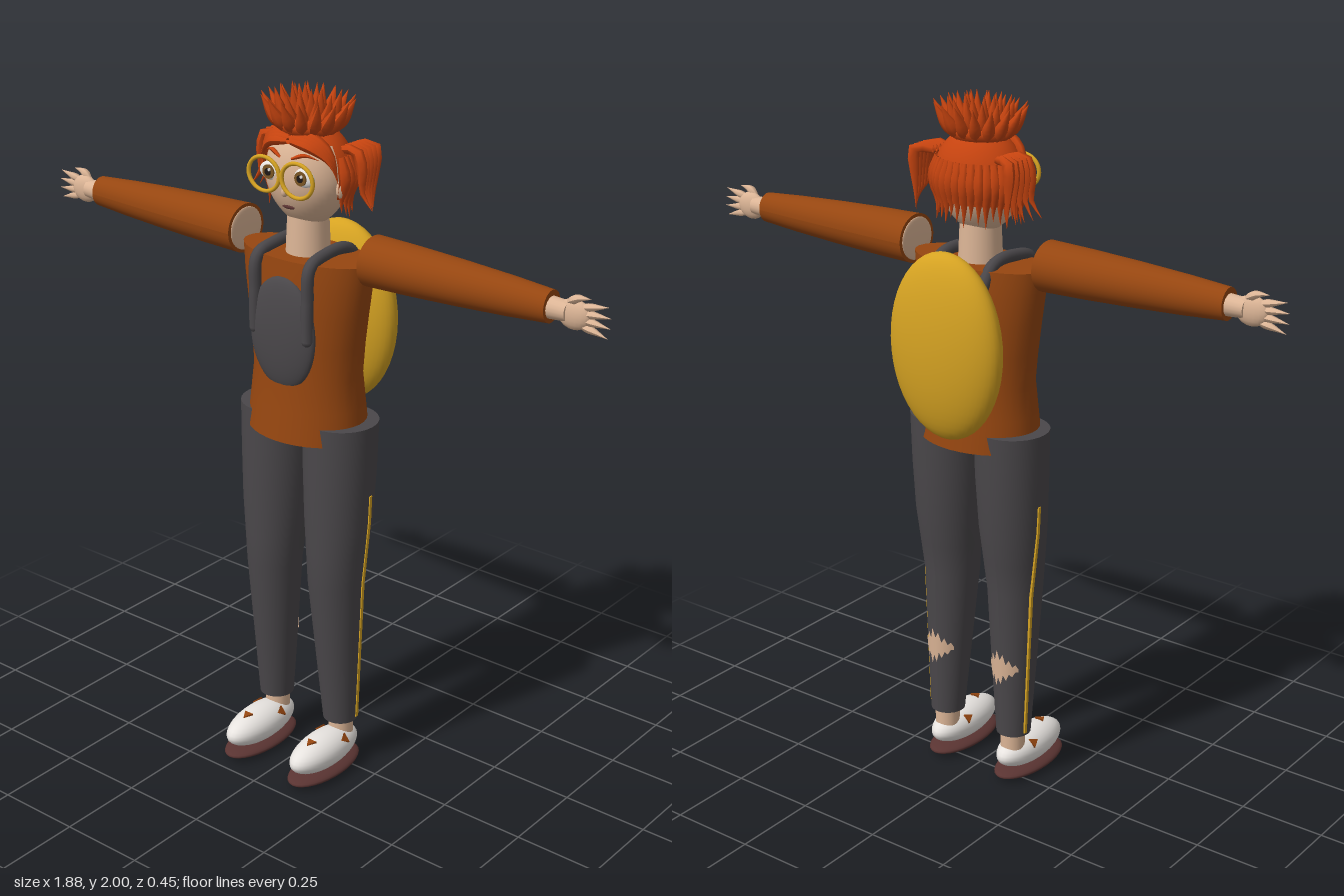
import * as THREE from 'three';

const mat = (name, color) => {
  const m = new THREE.MeshStandardMaterial({ color, side: THREE.DoubleSide });
  m.name = name;
  return m;
};
const V = (x, y, z) => new THREE.Vector3(x, y, z);

export function createModel() {
  const skin = mat('skin', 0xdcb596), hairRed = mat('hair red', 0xc5430f), rust = mat('rust cloth', 0x964610);
  const charcoal = mat('charcoal cloth', 0x4a474a), gold = mat('gold', 0xd6a322), white = mat('white', 0xeeeae6);
  const soleBrown = mat('sole brown', 0x5a3432), iris = mat('iris brown', 0x7a5524), black = mat('black', 0x1c1614);
  const model = new THREE.Group();

  const add = (name, geo, material, parent = model, pos = [0, 0, 0]) => {
    const m = new THREE.Mesh(geo, material);
    m.name = name;
    m.position.set(...pos);
    parent.add(m);
    return m;
  };
  const group = (name, parent = model) => {
    const g = new THREE.Group();
    g.name = name;
    parent.add(g);
    return g;
  };
  const ellipsoid = (rx, ry, rz, seg = 32) => new THREE.SphereGeometry(1, seg, seg / 2).scale(rx, ry, rz);

  // Elliptical rings from top to bottom: [y, cx, cz, rx, rz]; the seam lies at the back
  const loft = (rows, seg = 36) => {
    const n = rows.length - 1;
    const geo = new THREE.CylinderGeometry(1, 1, 1, seg, n);
    const p = geo.attributes.position;
    for (let i = 0; i < p.count; i++) {
      const [y, cx, cz, rx, rz] = rows[Math.round((0.5 - p.getY(i)) * n)];
      p.setXYZ(i, cx - p.getX(i) * rx, y, cz - p.getZ(i) * rz);
    }
    geo.computeVertexNormals();
    return geo;
  };

  // Tube that swells from its root and narrows to a point
  const strand = (pts, r, flat = 1) => {
    const curve = new THREE.CatmullRomCurve3(pts);
    const n = 8, radial = 6;
    const geo = new THREE.TubeGeometry(curve, n, r, radial, false);
    const p = geo.attributes.position;
    for (let i = 0; i < p.count; i++) {
      const t = Math.floor(i / (radial + 1)) / n;
      const c = curve.getPointAt(t);
      const k = Math.max(0.02, Math.min(1, (1 - t) * 1.7) * (0.6 + 0.4 * Math.min(1, t * 4)));
      p.setXYZ(i, c.x + (p.getX(i) - c.x) * k, c.y + (p.getY(i) - c.y) * k, c.z + (p.getZ(i) - c.z) * k * flat);
    }
    geo.computeVertexNormals();
    return geo;
  };

  // Torso
  add('shirt', loft([[1.55, 0, 0, 0.21, 0.105], [1.48, 0, 0, 0.202, 0.112], [1.4, 0, 0, 0.189, 0.115],
    [1.31, 0, 0, 0.176, 0.117], [1.22, 0, 0, 0.166, 0.12], [1.13, 0, 0, 0.175, 0.13], [1.04, 0, 0, 0.184, 0.14]]), rust);
  add('neck', new THREE.CylinderGeometry(0.055, 0.062, 0.16, 28), skin, model, [0, 1.6, 0]);

  // Backpack, chest panel and straps
  add('backpack', ellipsoid(0.182, 0.262, 0.072, 48), gold, model, [0, 1.34, -0.153]);
  add('chestPanel', ellipsoid(0.11, 0.16, 0.03, 40), charcoal, model, [0, 1.345, 0.108]);
  for (const s of [-1, 1]) {
    const path = new THREE.CatmullRomCurve3([V(s * 0.09, 1.345, 0.115), V(s * 0.09, 1.45, 0.115), V(s * 0.09, 1.545, 0.105),
      V(s * 0.087, 1.565, 0.04), V(s * 0.087, 1.56, -0.06), V(s * 0.087, 1.5, -0.115)]);
    add('strap', new THREE.TubeGeometry(path, 30, 0.017, 10), charcoal);
    add('strapEnd', ellipsoid(0.017, 0.017, 0.017, 12), charcoal, model, [s * 0.09, 1.345, 0.115]);
  }

  // Arms: sleeve, wrist, palm and fanned fingers
  for (const s of [-1, 1]) {
    const arm = group(s > 0 ? 'leftArm' : 'rightArm');
    arm.position.y = 1.568;
    if (s < 0) arm.rotation.y = Math.PI;
    add('sleeve', loft([[0.77, 0, 0, 0.043, 0.039], [0.65, 0, 0, 0.052, 0.049], [0.5, 0, 0, 0.06, 0.06],
      [0.35, 0, 0, 0.066, 0.068], [0.22, 0, 0, 0.069, 0.074]]).rotateZ(-Math.PI / 2), rust, arm);
    add('shoulderEnd', ellipsoid(0.006, 0.06, 0.064), skin, arm, [0.219, 0, 0]);
    add('wrist', new THREE.CylinderGeometry(0.026, 0.03, 0.06, 18).rotateZ(-Math.PI / 2), skin, arm, [0.79, -0.002, 0]);
    add('palm', ellipsoid(0.048, 0.04, 0.02, 20), skin, arm, [0.835, -0.005, 0]);
    for (let i = 0; i < 4; i++) {
      const a = i - 1.5;
      add('finger', strand([V(0.85, a * 0.015 - 0.006, 0), V(0.895, a * 0.021 - 0.006, 0),
        V(0.943 - Math.abs(a) * 0.007, a * 0.027 - 0.007, 0)], 0.0105), skin, arm);
    }
    add('thumb', strand([V(0.82, 0.025, 0.004), V(0.85, 0.041, 0.008), V(0.885, 0.046, 0.008)], 0.012), skin, arm);
  }

  // Legs and shoes
  const jag = [0.005, 0.022, 0.014, 0.045, 0.024, 0.06, 0.03, 0.05, 0.018, 0.034, 0.012, 0.02, 0.004];
  for (const s of [-1, 1]) {
    const leg = group(s > 0 ? 'leftLeg' : 'rightLeg');
    const rows = [[1.09, 0.111, -0.005, 0.106, 0.105], [0.95, 0.111, -0.002, 0.103, 0.103], [0.8, 0.112, 0.003, 0.096, 0.098],
      [0.7, 0.112, 0.009, 0.087, 0.09], [0.6, 0.112, 0.015, 0.078, 0.082], [0.37, 0.116, 0.007, 0.064, 0.066], [0.15, 0.12, 0, 0.05, 0.05]];
    add('trouserLeg', loft(rows.map(([y, cx, ...r]) => [y, s * cx, ...r])), charcoal, leg);

    // Side stripe in straight pieces along the outer seam
    const seam = [[0.88, 0.2095], [0.8, 0.2065], [0.7, 0.1965], [0.6, 0.1865], [0.37, 0.177], [0.16, 0.169]];
    for (let i = 0; i < seam.length - 1; i++) {
      const [y0, x0] = seam[i], [y1, x1] = seam[i + 1];
      const bar = add('sideStripe', new THREE.BoxGeometry(0.008, Math.hypot(y0 - y1, x0 - x1), 0.01), gold, leg,
        [s * (x0 + x1) / 2, (y0 + y1) / 2, -0.012]);
      bar.rotation.z = -s * Math.atan2(x0 - x1, y0 - y1);
    }

    // Ragged hole on the calf
    const hole = new THREE.CylinderGeometry(1, 1, 2, 12, 1, true, Math.PI - 0.85, 1.7);
    const p = hole.attributes.position;
    for (let i = 0; i < p.count; i++) {
      const y = p.getY(i) * jag[(i % 13 + (p.getY(i) < 0 ? 1 : 0)) % 13];
      const r = 0.0652 + y * 0.062;
      p.setXYZ(i, p.getX(i) * r, y, p.getZ(i) * r * 1.06);
    }
    hole.computeVertexNormals();
    add('calfHole', hole, skin, leg, [s * 0.116, 0.37, 0.007]);

    add('ankle', new THREE.CylinderGeometry(0.036, 0.036, 0.1, 20), skin, leg, [s * 0.12, 0.12, -0.003]);
    add('shoe', ellipsoid(0.06, 0.052, 0.139), white, leg, [s * 0.12, 0.075, 0.077]);
    add('sole', ellipsoid(0.068, 0.02, 0.144), soleBrown, leg, [s * 0.12, 0.02, 0.077]);

    // Three-cornered shoe patches, laid on the shoe's curve
    for (const [dx, dz] of [[0, 0.06], [-0.046, -0.04], [0.046, -0.04]]) {
      const k = Math.sqrt(1 - (dx / 0.06) ** 2 - (dz / 0.139) ** 2);
      const normal = V(dx / 0.0036, k / 0.052, dz / 0.0193).normalize();
      const patch = add('shoePatch', new THREE.CylinderGeometry(0.017, 0.017, 0.008, 3), rust, leg,
        [s * 0.12 + dx, 0.075 + 0.052 * k, 0.077 + dz]);
      patch.quaternion.setFromUnitVectors(V(0, 1, 0), normal);
    }
  }

  // Head narrowing towards the chin
  const head = group('head');
  const skull = new THREE.SphereGeometry(1, 40, 28);
  const sp = skull.attributes.position;
  for (let i = 0; i < sp.count; i++) {
    const y = sp.getY(i), k = y < 0 ? 1 - 0.22 * y * y : 1;
    sp.setXYZ(i, sp.getX(i) * 0.122 * k, y * 0.145, sp.getZ(i) * 0.1 * k);
  }
  skull.computeVertexNormals();
  add('face', skull, skin, head, [0, 1.765, 0]);
  add('nose', ellipsoid(0.009, 0.014, 0.01, 14), skin, head, [0, 1.735, 0.098]);
  add('mouth', ellipsoid(0.021, 0.005, 0.004, 14), soleBrown, head, [0, 1.69, 0.082]);
  const disc = (r) => new THREE.CylinderGeometry(r, r, 0.004, 24).rotateX(Math.PI / 2);
  for (const s of [-1, 1]) {
    add('eyeWhite', ellipsoid(0.036, 0.025, 0.012, 24), white, head, [s * 0.056, 1.78, 0.087]);
    add('iris', disc(0.019), iris, head, [s * 0.054, 1.78, 0.099]);
    add('pupil', disc(0.01), black, head, [s * 0.054, 1.78, 0.101]);
    add('glint', disc(0.004), white, head, [s * 0.054 + 0.006, 1.787, 0.103]);
    add('eyebrow', strand([V(s * 0.02, 1.826, 0.094), V(s * 0.055, 1.838, 0.083), V(s * 0.09, 1.826, 0.064)], 0.006), hairRed, head);
    add('glassesRing', new THREE.TorusGeometry(0.046, 0.0055, 8, 36).scale(1.13, 1, 1), gold, head, [s * 0.056, 1.778, 0.115]);
    add('ear', ellipsoid(0.014, 0.028, 0.02, 16), skin, head, [s * 0.121, 1.745, 0.01]);
  }
  add('glassesBridge', new THREE.BoxGeometry(0.018, 0.008, 0.008), gold, head, [0, 1.785, 0.115]);

  // Hair shells over the back and the top of the head
  const hair = group('hair', head);
  const shell = (name, ...sphereArgs) =>
    add(name, new THREE.SphereGeometry(1, 36, 20, ...sphereArgs).scale(0.133, 0.14, 0.107), hairRed, hair, [0, 1.77, -0.003]);
  shell('topHair', 0, Math.PI * 2, 0, 0.88);
  shell('backHair', Math.PI * 0.9, Math.PI * 1.2, 0, Math.PI * 0.62);

  // Hanging strands around the back
  for (let i = 0; i <= 20; i++) {
    const a = Math.PI * (0.96 + 1.08 * i / 20), c = Math.cos(a), d = Math.sin(a);
    add('backStrand', strand([V(c * 0.12, 1.83, d * 0.096), V(c * 0.135, 1.765, d * 0.106),
      V(c * 0.122, 1.71, d * 0.1), V(c * 0.125, 1.66 + (i % 3) * 0.01, d * 0.105)], 0.016), hairRed, hair);
  }
  for (const s of [-1, 1]) {
    // Flicked side locks
    for (let i = 0; i < 5; i++) {
      const z = -0.01 - i * 0.019;
      add('sideLock', strand([V(s * 0.105, 1.845, z * 0.8), V(s * 0.152, 1.847, z), V(s * (0.172 - i * 0.004), 1.79, z),
        V(s * (0.172 - i * 0.005), 1.74, z), V(s * (0.207 - i * 0.014), 1.695 - i * 0.004, z)], 0.017, 0.8), hairRed, hair);
    }
    // Fringe swept to the temples
    for (let i = 0; i < 4; i++) {
      add('fringe', strand([V(s * 0.005, 1.89 - i * 0.008, 0.05 + i * 0.009), V(s * 0.06, 1.878 - i * 0.007, 0.052 + i * 0.006),
        V(s * 0.105, 1.845 - i * 0.006, 0.042 + i * 0.004), V(s * 0.125, 1.76 + i * 0.012, 0.03 + i * 0.006)], 0.014), hairRed, hair);
    }
  }

  // Spiky crown on a rolled base
  add('crownBase', new THREE.TorusGeometry(0.066, 0.022, 10, 32).rotateX(Math.PI / 2).scale(1.05, 1, 0.9), hairRed, hair, [0, 1.9, 0]);
  const rings = [[16, 0.072, 0.135, 1.975], [13, 0.052, 0.095, 1.99], [8, 0.025, 0.045, 1.999]];
  rings.forEach(([count, r0, r1, top], k) => {
    for (let i = 0; i < count; i++) {
      const a = (i + k * 0.5) / count * Math.PI * 2, c = Math.cos(a), d = Math.sin(a) * 0.82;
      add('crownSpike', strand([V(c * r0, 1.885, d * r0), V(c * (r0 + r1) * 0.52, 1.93, d * (r0 + r1) * 0.52),
        V(c * r1, top, d * r1)], 0.017), hairRed, hair);
    }
  });
  return model;
}
